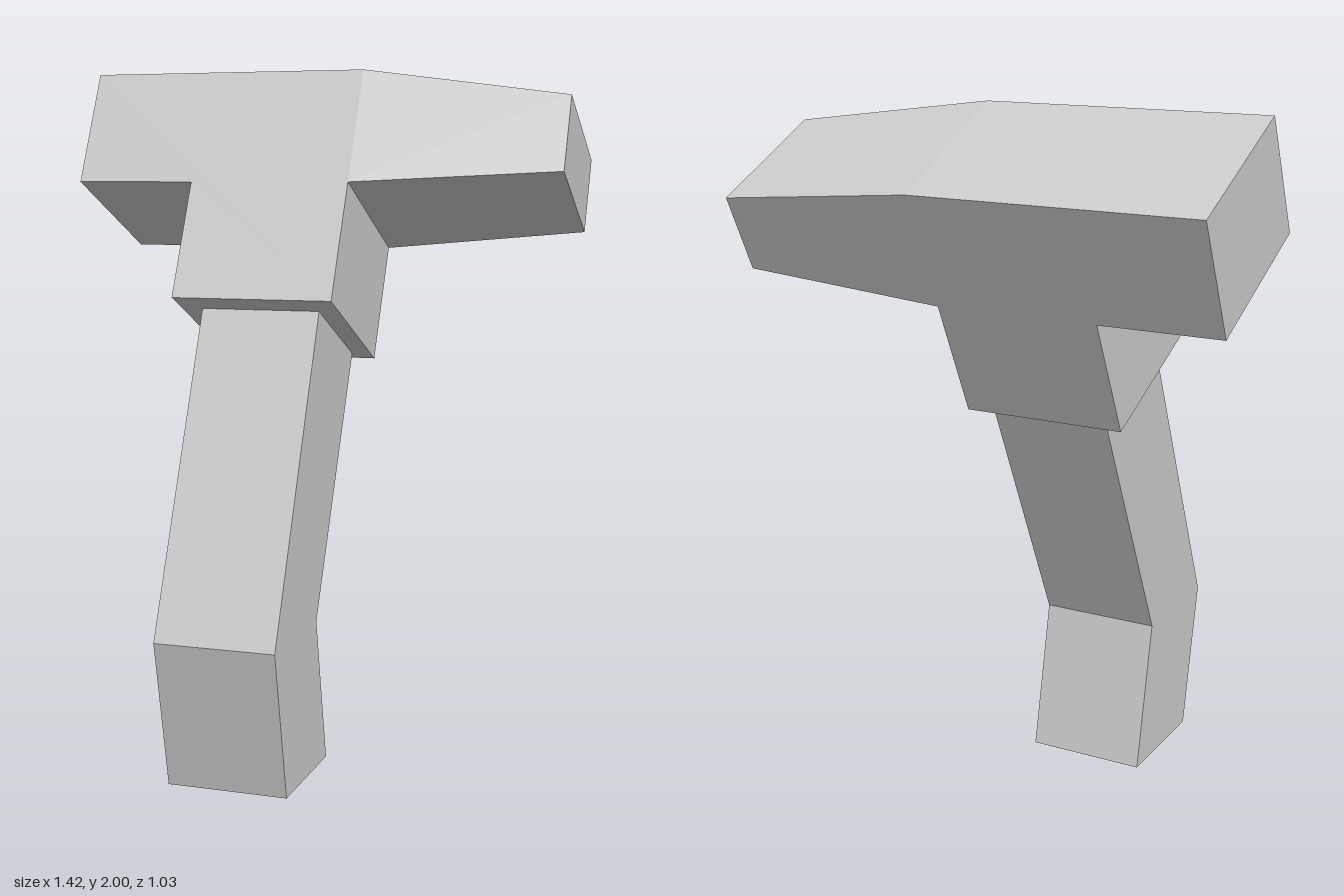
import * as THREE from 'three';

// Flat extrusion of an outline given as [x, y] pairs
function extrude(points, depth) {
  const shape = new THREE.Shape(points.map(([x, y]) => new THREE.Vector2(x, y)));
  return new THREE.ExtrudeGeometry(shape, { depth, bevelEnabled: false });
}

export function createModel() {
  const model = new THREE.Group();
  model.name = 'hammer';
  const grey = new THREE.MeshStandardMaterial({ color: 0xcccccc });
  grey.name = 'light grey';

  const add = (parent, name, geometry) => {
    const mesh = new THREE.Mesh(geometry, grey);
    mesh.name = name;
    parent.add(mesh);
    return mesh;
  };

  // Leaning head: local origin at its top front edge
  const head = new THREE.Group();
  head.name = 'head';
  head.position.set(0, 2, -0.09);
  head.rotation.x = -0.44;
  model.add(head);

  const DEPTH = 0.472, HEIGHT = 0.352, INNER = 0.115, OUTER = 0.71;

  // Blunt end and collar in one block
  const block = extrude([
    [-0.714, 0], [-0.714, -HEIGHT], [-0.36, -HEIGHT], [-0.36, -0.711],
    [INNER, -0.711], [INNER, -HEIGHT], [INNER, 0],
  ], DEPTH);
  block.translate(0, 0, -DEPTH);
  add(head, 'headBlock', block);

  // Tapered end: narrows at top, bottom and front, flush at the back
  const taper = new THREE.BoxGeometry(OUTER - INNER, HEIGHT, DEPTH);
  taper.translate((OUTER + INNER) / 2, -HEIGHT / 2, -DEPTH / 2);
  const p = taper.attributes.position;
  for (let i = 0; i < p.count; i++) {
    if (p.getX(i) < OUTER - 0.01) continue;
    p.setY(i, p.getY(i) > -0.1 ? -0.059 : -HEIGHT + 0.059);
    if (p.getZ(i) > -0.1) p.setZ(i, -0.058);
  }
  taper.computeVertexNormals();
  add(head, 'taperedEnd', taper);

  // Bent handle: side outline in (z, y), extruded across x
  const handle = add(model, 'handle', extrude([
    [0.425, 0], [0.517, 0.434], [0.139, 1.322], [-0.18, 1.172], [0.163, 0.434], [0.072, 0],
  ], 0.352));
  handle.rotation.y = -Math.PI / 2;
  handle.position.x = 0.056;

  return model;
}
